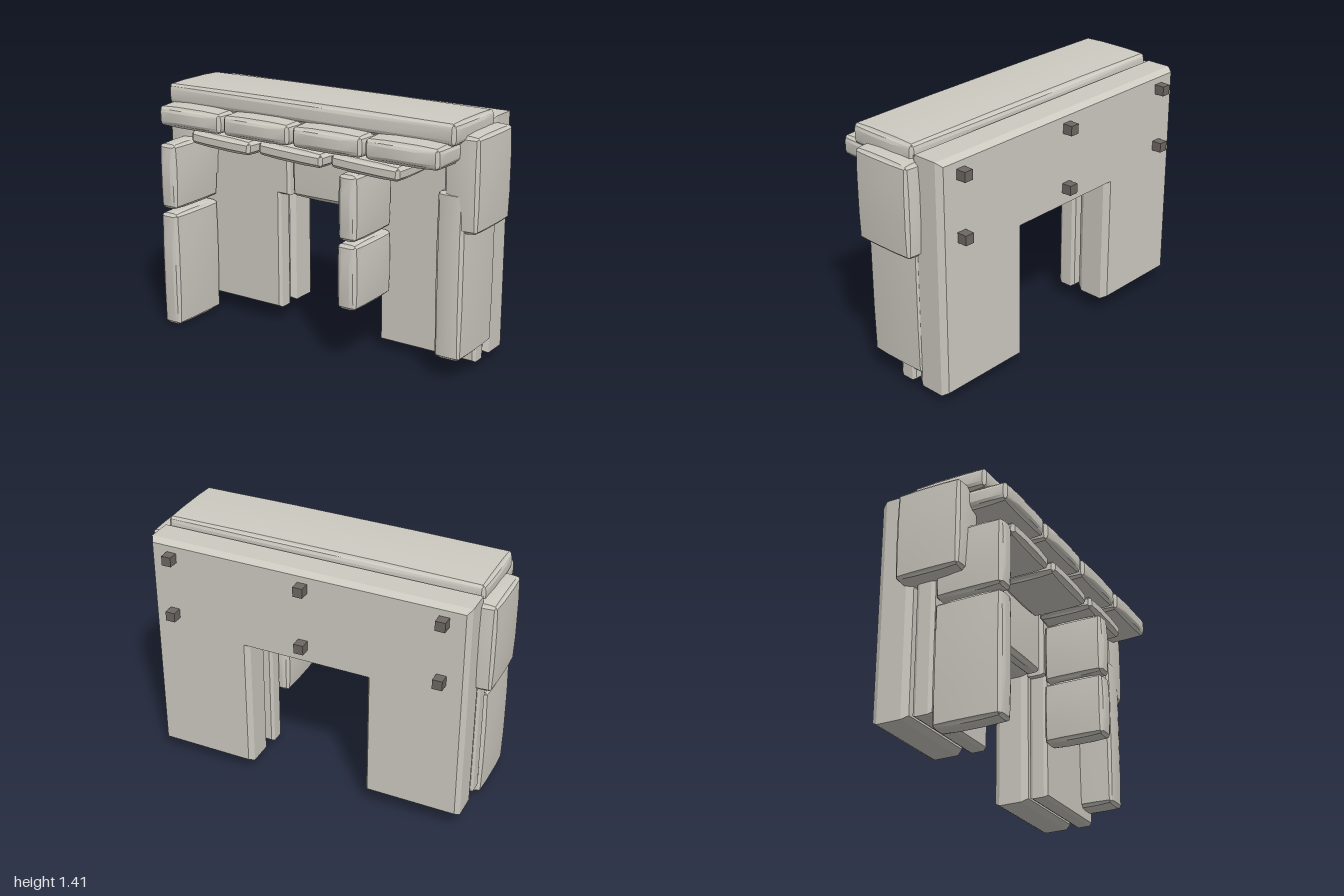
import * as THREE from 'three';
import { toCreasedNormals } from 'three/addons/utils/BufferGeometryUtils.js';

// Slab with chamfered edges and slightly bulged faces, given by its extents
function slabGeometry(w, h, d, chamfer = 0.024, bulge = 0.012) {
  const geo = new THREE.BoxGeometry(1, 1, 1, 5, 5, 5);
  const half = [w / 2, h / 2, d / 2];
  const pos = geo.attributes.position;
  for (let i = 0; i < pos.count; i++) {
    // step per axis: 1 = near the middle, 2 = start of the chamfer, 3 = face
    const u = [pos.getX(i), pos.getY(i), pos.getZ(i)].map((v) => v * 2);
    const step = u.map((v) => (Math.abs(v) > 0.9 ? 3 : Math.abs(v) > 0.5 ? 2 : 1));
    const p = u.map((v, a) => {
      let r = step[a] === 3 ? half[a] : step[a] === 2 ? half[a] - chamfer : half[a] * 0.4;
      if (step[a] === 3) {
        const others = [0, 1, 2].filter((b) => b !== a).map((b) => step[b]);
        const edge = Math.max(...others);
        r -= edge === 3 ? chamfer / 2 + bulge / 2 : 0;
        if (edge === 2) r -= others.includes(1) ? bulge * 0.6 : bulge;
      }
      return Math.sign(v) * r;
    });
    pos.setXYZ(i, ...p);
  }
  return toCreasedNormals(geo, 0.35);
}

// Bevelled plate with an outline in x and y, between two z values
function plateGeometry(points, z0, z1, bevel) {
  const shape = new THREE.Shape(points.map(([x, y]) => new THREE.Vector2(x, y)));
  const geo = new THREE.ExtrudeGeometry(shape, {
    depth: z1 - z0 - 2 * bevel, bevelEnabled: true, bevelSegments: 1,
    bevelSize: bevel * 0.6, bevelOffset: -bevel * 0.6, bevelThickness: bevel,
  });
  geo.translate(0, 0, z0 + bevel);
  return toCreasedNormals(geo, 0.35);
}

export function createModel() {
  const group = new THREE.Group();
  const shell = new THREE.MeshStandardMaterial({ color: 0xcdcac1 });
  shell.name = 'pale grey shell';
  const dark = new THREE.MeshStandardMaterial({ color: 0x6e6763 });
  dark.name = 'dark peg';

  const add = (name, geo, mat = shell) => {
    const mesh = new THREE.Mesh(geo, mat);
    mesh.name = name;
    group.add(mesh);
    return mesh;
  };
  const slab = (name, x0, x1, y0, y1, z0, z1) => {
    const mesh = add(name, slabGeometry(x1 - x0, y1 - y0, z1 - z0));
    mesh.position.set((x0 + x1) / 2, (y0 + y1) / 2, (z0 + z1) / 2);
    return mesh;
  };

  // Back plate: two legs joined by a wide bar
  add('backPlate', plateGeometry([
    [-0.91, 0.09], [-0.36, 0.09], [-0.36, 0.82], [0.335, 0.82], [0.335, 0.05],
    [0.91, 0.05], [0.91, 1.365], [-0.91, 1.365],
  ], -0.345, -0.135, 0.035));

  // Inner layer: two leg plates with a centre plate between them
  add('innerPlateRight', plateGeometry([
    [-0.905, 0.09], [-0.355, 0.09], [-0.355, 0.78], [-0.29, 0.78], [-0.29, 1.28], [-0.905, 1.28],
  ], -0.11, 0, 0.02));
  add('innerPlateLeft', plateGeometry([
    [0.32, 0.05], [0.91, 0.05], [0.91, 1.28], [0.285, 1.28], [0.285, 0.78], [0.32, 0.78],
  ], -0.11, 0, 0.02));
  slab('innerPlateCentre', -0.28, 0.275, 0.775, 1.28, -0.11, 0);

  // Top slab
  slab('topSlab', -0.915, 0.915, 1.28, 1.415, -0.155, 0.29);

  // Upper front row
  [[-0.895, -0.455], [-0.448, -0.005], [0.005, 0.444], [0.45, 0.89]].forEach(([a, b]) =>
    slab('upperRowPlate', a, b, 1.18, 1.31, 0, 0.402));

  // Lower front row, slightly tilted
  [[-0.715, -0.298], [-0.255, 0.168], [0.21, 0.635]].forEach(([a, b]) => {
    slab('lowerRowPlate', a, b, 1.08, 1.175, 0, 0.348).rotation.z = -0.045;
  });

  // Upright fins in front of the legs
  slab('outerFinLower', -0.922, -0.787, 0, 0.685, -0.005, 0.392);
  slab('outerFinUpper', -0.917, -0.787, 0.698, 1.088, -0.005, 0.39);
  slab('innerFinLower', 0.265, 0.402, 0.338, 0.715, 0, 0.375);
  slab('innerFinUpper', 0.272, 0.4, 0.718, 1.09, 0, 0.375);

  // Long side panel and the pads on both sides
  slab('sidePanel', 0.757, 0.928, 0.115, 1.04, -0.185, 0.2);
  slab('sidePadLeft', 0.79, 1.0, 0.815, 1.335, -0.2, 0.19);
  slab('sidePadRight', -1.0, -0.79, 0.815, 1.335, -0.2, 0.19);

  // Pegs on the back
  for (const x of [-0.775, 0, 0.775]) {
    for (const y of [0.94, 1.28]) {
      add('peg', new THREE.BoxGeometry(0.055, 0.055, 0.075), dark).position.set(x, y, -0.365);
    }
  }
  return group;
}
